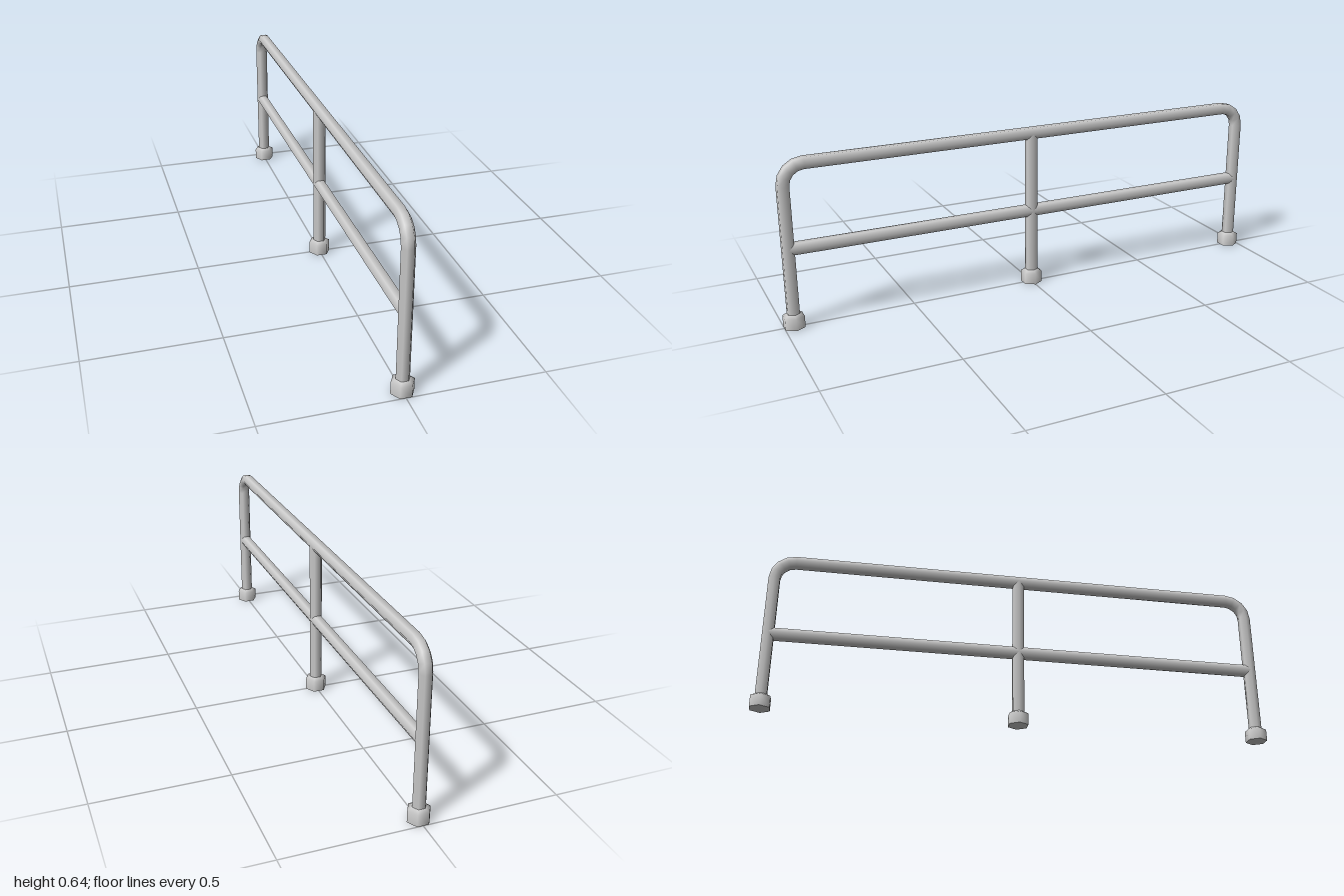
import * as THREE from 'three';

const SIDES = 6;
const R = 0.025;        // pipe radius
const TOP = 0.62;       // top rail centre height
const MID = 0.305;      // middle rail centre height
const END = 0.9635;     // end post centre
const BEND = 0.078;     // corner radius
const BASE = 0.03;      // pipes start inside the feet

const material = new THREE.MeshStandardMaterial({ color: 0xcccccc });

function addMesh(parent, geometry, name) {
  const mesh = new THREE.Mesh(geometry, material);
  mesh.name = name;
  parent.add(mesh);
  return mesh;
}

// Hexagonal pipe along y, corners on the x axis, open ends
function pipe(length, rows = 1) {
  return new THREE.CylinderGeometry(R, R, length, SIDES, rows, true).rotateY(Math.PI / 2);
}

// Pipe bent in the y/z plane: each row of the cylinder moves to one station {y, z, angle}
function bentPipe(stations) {
  const rows = stations.length - 1;
  const geometry = pipe(1, rows);
  const pos = geometry.attributes.position;
  const nor = geometry.attributes.normal;
  for (let i = 0; i < pos.count; i++) {
    const s = stations[Math.round((pos.getY(i) + 0.5) * rows)];
    const sin = Math.sin(s.angle), cos = Math.cos(s.angle);
    const offset = pos.getZ(i), n = nor.getZ(i);
    pos.setXYZ(i, pos.getX(i), s.y - offset * sin, s.z + offset * cos);
    nor.setXYZ(i, nor.getX(i), -n * sin, n * cos);
  }
  return geometry;
}

// Up the back post, over two rounded corners, down the front post
function frameStations() {
  const steps = 4;
  const stations = [{ y: BASE, z: -END, angle: 0 }];
  for (const side of [-1, 1]) {
    for (let i = 0; i <= steps; i++) {
      const angle = ((side > 0 ? steps : 0) + i) / steps * Math.PI / 2;
      stations.push({
        y: TOP - BEND + BEND * Math.sin(angle),
        z: side * (END - BEND) - BEND * Math.cos(angle),
        angle,
      });
    }
  }
  stations.push({ y: BASE, z: END, angle: Math.PI });
  return stations;
}

// Hexagonal foot with a sloped collar and a flat sole
function createFoot() {
  const foot = new THREE.Group();
  const profile = [[0.042, 0], [0.042, 0.045], [R, 0.055]].map(p => new THREE.Vector2(...p));
  addMesh(foot, new THREE.LatheGeometry(profile, SIDES).rotateY(Math.PI / 2), 'footCollar');
  addMesh(foot, new THREE.CircleGeometry(0.042, SIDES).rotateX(Math.PI / 2), 'footSole');
  return foot;
}

export function createModel() {
  const model = new THREE.Group();
  model.name = 'handrail';

  addMesh(model, bentPipe(frameStations()), 'outerFrame');
  addMesh(model, pipe(2 * END).rotateX(Math.PI / 2), 'middleRail').position.y = MID;
  addMesh(model, pipe(TOP - BASE), 'centrePost').position.y = (TOP + BASE) / 2;

  [['frontFoot', END], ['centreFoot', 0], ['backFoot', -END]].forEach(([name, z]) => {
    const foot = createFoot();
    foot.name = name;
    foot.position.z = z;
    model.add(foot);
  });

  return model;
}
